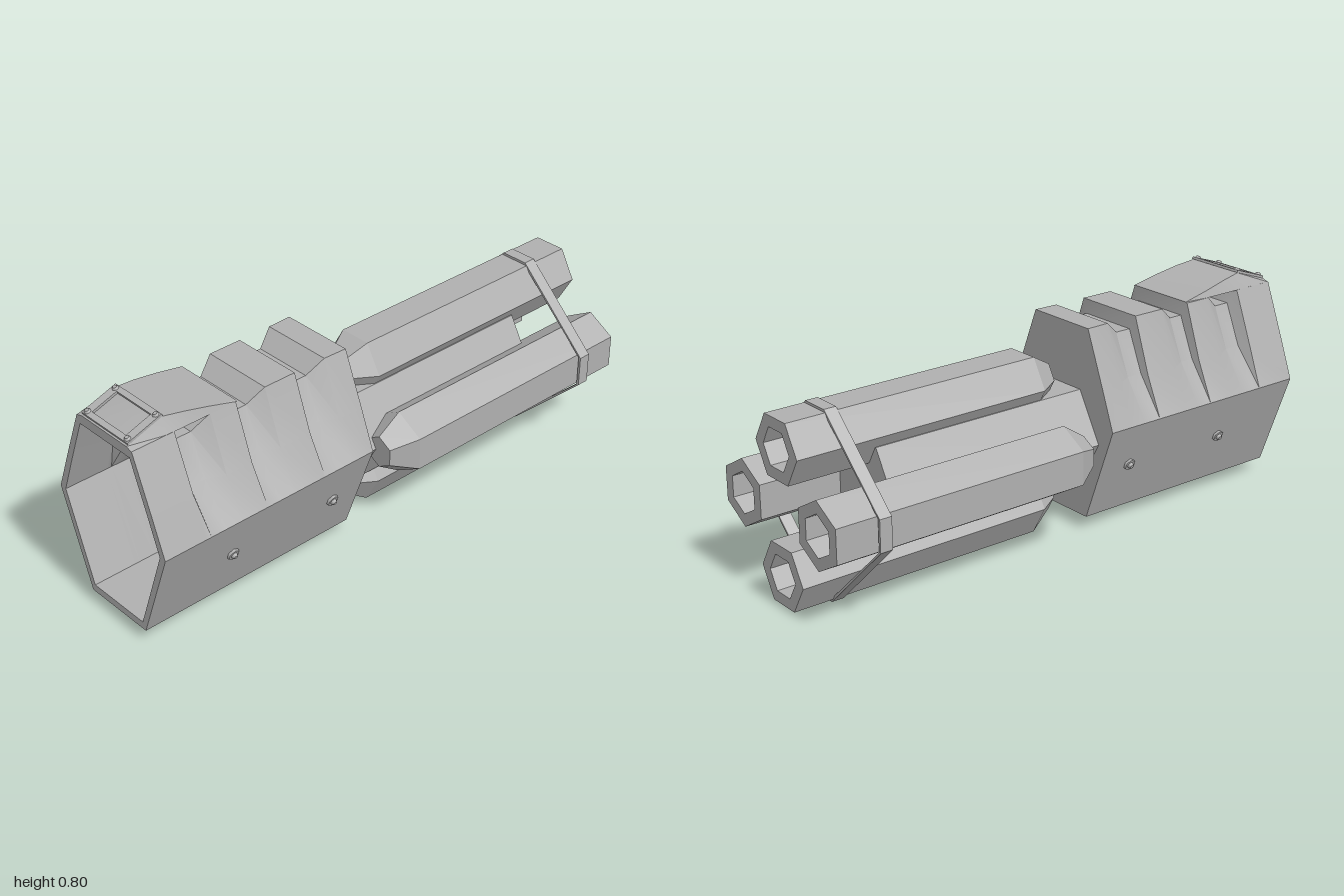
import * as THREE from 'three';
import { toCreasedNormals } from 'three/addons/utils/BufferGeometryUtils.js';

const metal = new THREE.MeshStandardMaterial({ color: 0xb0b0b0 });
metal.name = 'grey metal';

const CY = 0.333; // height of the barrel cluster axis

// Skin a list of rings (each a list of [x, y, z]) and optionally cap its ends
function loft(rings, { capStart = true, capEnd = true, crease = 0.4 } = {}) {
  const out = [];
  const n = rings[0].length;
  const tri = (...pts) => pts.forEach((p) => out.push(...p));
  for (let i = 0; i < rings.length - 1; i++) {
    for (let j = 0; j < n; j++) {
      const k = (j + 1) % n;
      const a = rings[i][j], b = rings[i][k], c = rings[i + 1][k], d = rings[i + 1][j];
      tri(a, b, c);
      tri(a, c, d);
    }
  }
  const cap = (ring, flip) => {
    const mid = [0, 1, 2].map((q) => ring.reduce((s, p) => s + p[q], 0) / n);
    ring.forEach((p, j) => {
      const next = ring[(j + 1) % n];
      if (flip) tri(mid, next, p); else tri(mid, p, next);
    });
  };
  if (capStart) cap(rings[0], true);
  if (capEnd) cap(rings[rings.length - 1], false);
  const g = new THREE.BufferGeometry();
  g.setAttribute('position', new THREE.Float32BufferAttribute(out, 3));
  g.computeVertexNormals();
  return toCreasedNormals(g, crease);
}

// Symmetric ring from the +z half, listed bottom to top as [z, y]
const mirrored = (x, half) => [
  ...half.map(([z, y]) => [x, y, z]),
  ...half.slice().reverse().map(([z, y]) => [x, y, -z]),
];

// Hexagonal ring around the x axis, with corners towards +z and -z
const hex = (x, r, turn = 0) => Array.from({ length: 6 }, (_, i) => {
  const a = (i * Math.PI) / 3 + turn;
  return [x, Math.sin(a) * r, Math.cos(a) * r];
});

function add(parent, name, geometry) {
  const m = new THREE.Mesh(geometry, metal);
  m.name = name;
  parent.add(m);
  return m;
}

// Hollow housing, open at the back, with grooves across its shoulders
function housing() {
  const full = [0.216, 0.138, 0.735];
  const ridge = [0.205, 0.135, 0.735];
  const groove = [0.175, 0.112, 0.685];
  const stations = [
    [-0.14, full], [-0.23, ridge], [-0.29, groove], [-0.35, groove],
    [-0.356, ridge], [-0.48, ridge], [-0.54, groove], [-0.592, groove],
    [-0.598, ridge], [-0.70, ridge], [-0.76, groove], [-0.82, groove],
    [-0.84, full], [-1, full],
  ];
  const outer = stations.map(([x, [midZ, topZ, topY]]) =>
    mirrored(x, [[0.14, 0.05], [0.27, 0.4], [midZ, 0.54], [topZ, topY]]));
  const inner = outer.slice().reverse().map((ring) =>
    ring.map(([x, y, z]) => [Math.min(x, -0.17), 0.39 + (y - 0.39) * 0.92, z * 0.9]));
  return loft([...outer, ...inner], { crease: 0.5 });
}

// Hexagonal barrel with a bore and a tapered rear end
function barrel(turn) {
  return loft([
    hex(0.72, 0.074, turn), hex(1, 0.074, turn), hex(1, 0.119, turn),
    hex(0.03, 0.119, turn), hex(-0.06, 0.06, turn),
  ]);
}

// Flat band wrapped round all four barrels
function strap() {
  const band = (x, t) => mirrored(x, [
    [0.052 - t * 0.4, 0.003 + t], [0.338 - t, CY - 0.056],
    [0.338 - t, CY + 0.056], [0.052 - t * 0.4, 0.66 - t],
  ]);
  const t = 0.009;
  return loft([band(0.81, t), band(0.855, t), band(0.855, 0), band(0.81, 0), band(0.81, t)],
    { capStart: false, capEnd: false });
}

// Sloping cover with a bolted window frame
function cover() {
  const g = new THREE.Group();
  g.name = 'topCover';
  const rows = [[-0.595, 0.133, 0.737], [-0.7, 0.13, 0.759], [-0.79, 0.122, 0.777],
    [-0.865, 0.113, 0.788], [-1, 0.113, 0.742]];
  add(g, 'coverShell', loft(rows.map(([x, z, y]) =>
    mirrored(x, [[0.138, 0.734], [z, y]])), { crease: 0.3 }));

  const plate = new THREE.Group();
  plate.name = 'windowPlate';
  plate.position.set(-0.928, 0.767, 0);
  plate.rotation.z = 0.33;
  const rect = (Type, w, h) => new Type([[-w, -h], [w, -h], [w, h], [-w, h]]
    .map(([x, y]) => new THREE.Vector2(x, y)));
  const frame = rect(THREE.Shape, 0.07, 0.115);
  frame.holes.push(rect(THREE.Path, 0.05, 0.085));
  const frameGeo = new THREE.ExtrudeGeometry(frame, { depth: 0.009, bevelEnabled: false });
  add(plate, 'windowFrame', frameGeo.rotateX(-Math.PI / 2));
  for (const x of [-0.057, 0.057]) {
    for (const z of [-0.1, 0.1]) {
      add(plate, 'frameBolt', new THREE.CylinderGeometry(0.007, 0.012, 0.008, 8))
        .position.set(x, 0.012, z);
    }
  }
  g.add(plate);
  return g;
}

export function createModel() {
  const model = new THREE.Group();
  model.name = 'fourBarrelGun';

  add(model, 'housing', housing());
  model.add(cover());

  // Hexagonal core between the barrels
  add(model, 'core', loft([hex(0.7, 0.2), hex(-0.15, 0.2)])).position.y = CY + 0.003;

  // Barrels: above, below and on both sides
  for (let i = 0; i < 4; i++) {
    const a = (i * Math.PI) / 2;
    add(model, 'barrel', barrel(a)).position
      .set(0, CY + Math.sin(a) * 0.215, Math.cos(a) * 0.215);
  }
  // Side barrels have a corner up and down, upper and lower ones a flat
  model.children.filter((c) => c.name === 'barrel').forEach((c, i) => {
    c.rotation.x = Math.PI / 2;
  });

  add(model, 'barrelStrap', strap());

  // Bolts on the sloping lower sides
  for (const side of [-1, 1]) {
    for (const x of [-0.695, -0.27]) {
      const bolt = new THREE.Group();
      bolt.name = 'sideBolt';
      add(bolt, 'boltCollar', new THREE.CylinderGeometry(0.022, 0.022, 0.014, 6).toNonIndexed());
      add(bolt, 'boltHead', new THREE.CylinderGeometry(0.008, 0.013, 0.012, 8)).position.y = 0.011;
      bolt.position.set(x, 0.237, side * 0.212);
      bolt.rotation.x = side * (Math.PI / 2 + 0.355);
      model.add(bolt);
    }
  }
  return model;
}
